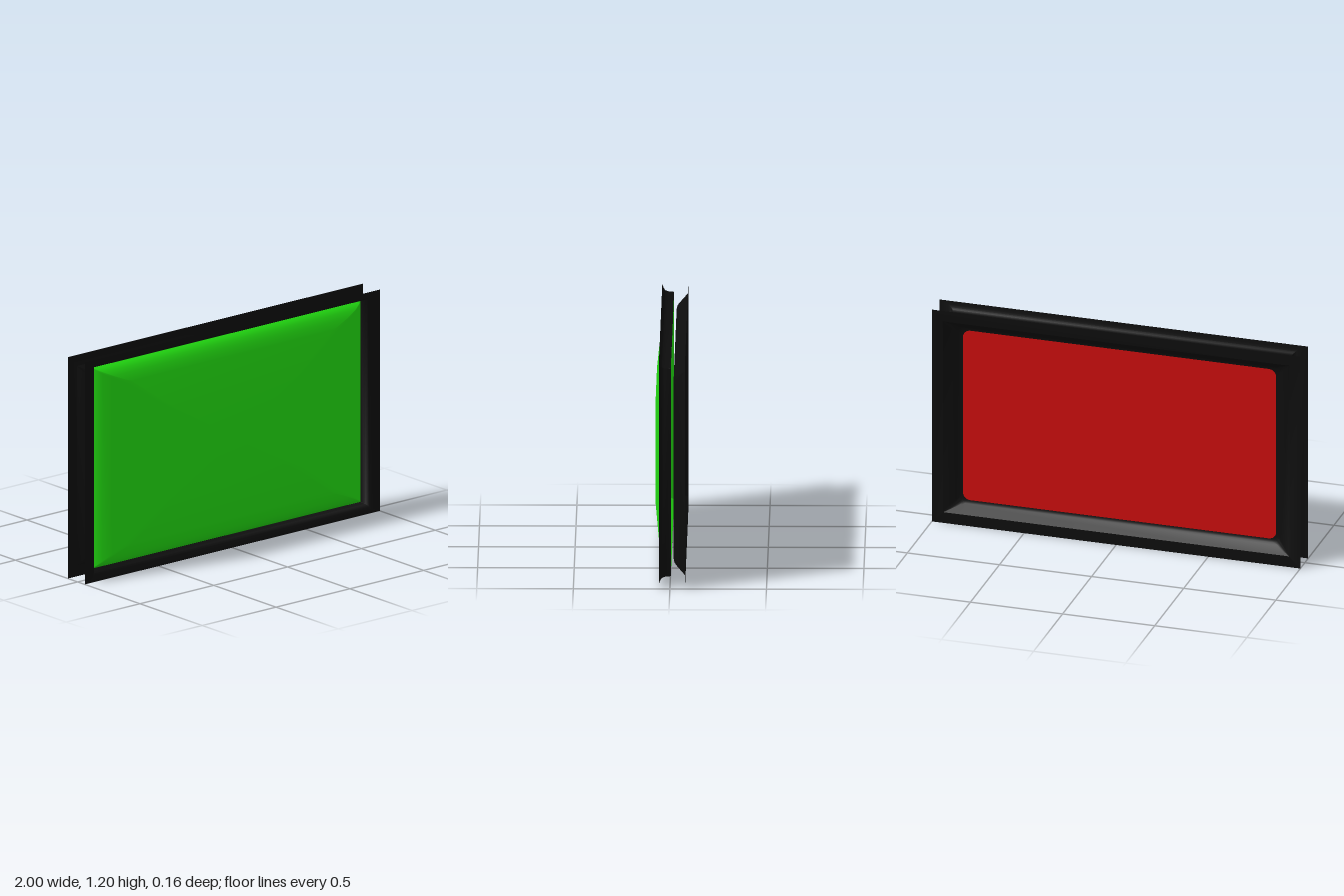
import * as THREE from 'three';
import { toCreasedNormals } from 'three/addons/utils/BufferGeometryUtils.js';

const CENTRE_Y = 0.6;
const CORNER_STEPS = 6;

// Points around a rounded rectangle, counterclockwise seen from the front
function ringPoints([hx, hy, z, r]) {
  const points = [];
  const corners = [[1, 1], [-1, 1], [-1, -1], [1, -1]];
  corners.forEach(([sx, sy], c) => {
    for (let i = 0; i <= CORNER_STEPS; i++) {
      const a = (c + i / CORNER_STEPS) * Math.PI / 2;
      points.push([sx * (hx - r) + r * Math.cos(a), CENTRE_Y + sy * (hy - r) + r * Math.sin(a), z]);
    }
  });
  return points;
}

// Surface through a list of rings [half width, half height, z, corner radius], outermost first
function loftRings(rings) {
  const positions = [], index = [];
  const n = 4 * (CORNER_STEPS + 1);
  rings.forEach((ring) => ringPoints(ring).forEach((p) => positions.push(...p)));
  for (let k = 0; k < rings.length - 1; k++) {
    for (let i = 0; i < n; i++) {
      const j = (i + 1) % n;
      const a = k * n + i, b = k * n + j, c = a + n, d = b + n;
      index.push(a, b, d, a, d, c);
    }
  }
  const geometry = new THREE.BufferGeometry();
  geometry.setAttribute('position', new THREE.Float32BufferAttribute(positions, 3));
  geometry.setIndex(index);
  geometry.computeVertexNormals();
  return geometry;
}

function sheet(name, geometry, color) {
  const material = new THREE.MeshStandardMaterial({ color, side: THREE.DoubleSide });
  const mesh = new THREE.Mesh(geometry, material);
  mesh.name = name;
  return mesh;
}

export function createModel() {
  const group = new THREE.Group();
  group.name = 'displayPanel';
  const black = 0x0d0d0d, green = 0x22dd11, red = 0xc80d0d;

  // Front frame: flat flange curving into a straight wall, open at the back
  const frame = loftRings([
    [1.0, 0.6, 0.057, 0.001],
    [0.95, 0.58, 0.056, 0.001],
    [0.936, 0.567, 0.05, 0.001],
    [0.926, 0.558, 0.042, 0.001],
    [0.921, 0.553, 0.028, 0.001],
    [0.92, 0.55, -0.004, 0.001],
  ]);
  group.add(sheet('frontFrame', toCreasedNormals(frame, 0.7), black));

  // Bulging front panel with steep edges
  const panel = loftRings([
    [0.918, 0.549, -0.004, 0.002],
    [0.895, 0.535, 0.018, 0.003],
    [0.86, 0.515, 0.034, 0.006],
    [0.8, 0.485, 0.046, 0.01],
    [0.7, 0.44, 0.057, 0.02],
    [0.45, 0.26, 0.08, 0.02],
    [0, 0, 0.08, 0],
  ]);
  group.add(sheet('frontPanel', panel, green));

  // Rear frame: flat rim and sloped walls of a shallow tray
  const tray = loftRings([
    [1.0, 0.6, -0.078, 0.001],
    [0.94, 0.54, -0.077, 0.002],
    [0.882, 0.506, -0.032, 0.03],
    [0.872, 0.498, -0.024, 0.035],
    [0.862, 0.488, -0.019, 0.037],
    [0.85, 0.48, -0.018, 0.04],
  ]);
  group.add(sheet('rearFrame', toCreasedNormals(tray, 0.6), black));

  // Recessed rear panel with rounded corners
  const floor = loftRings([
    [0.85, 0.48, -0.018, 0.04],
    [0, 0, -0.018, 0],
  ]);
  group.add(sheet('rearPanel', floor, red));

  return group;
}
